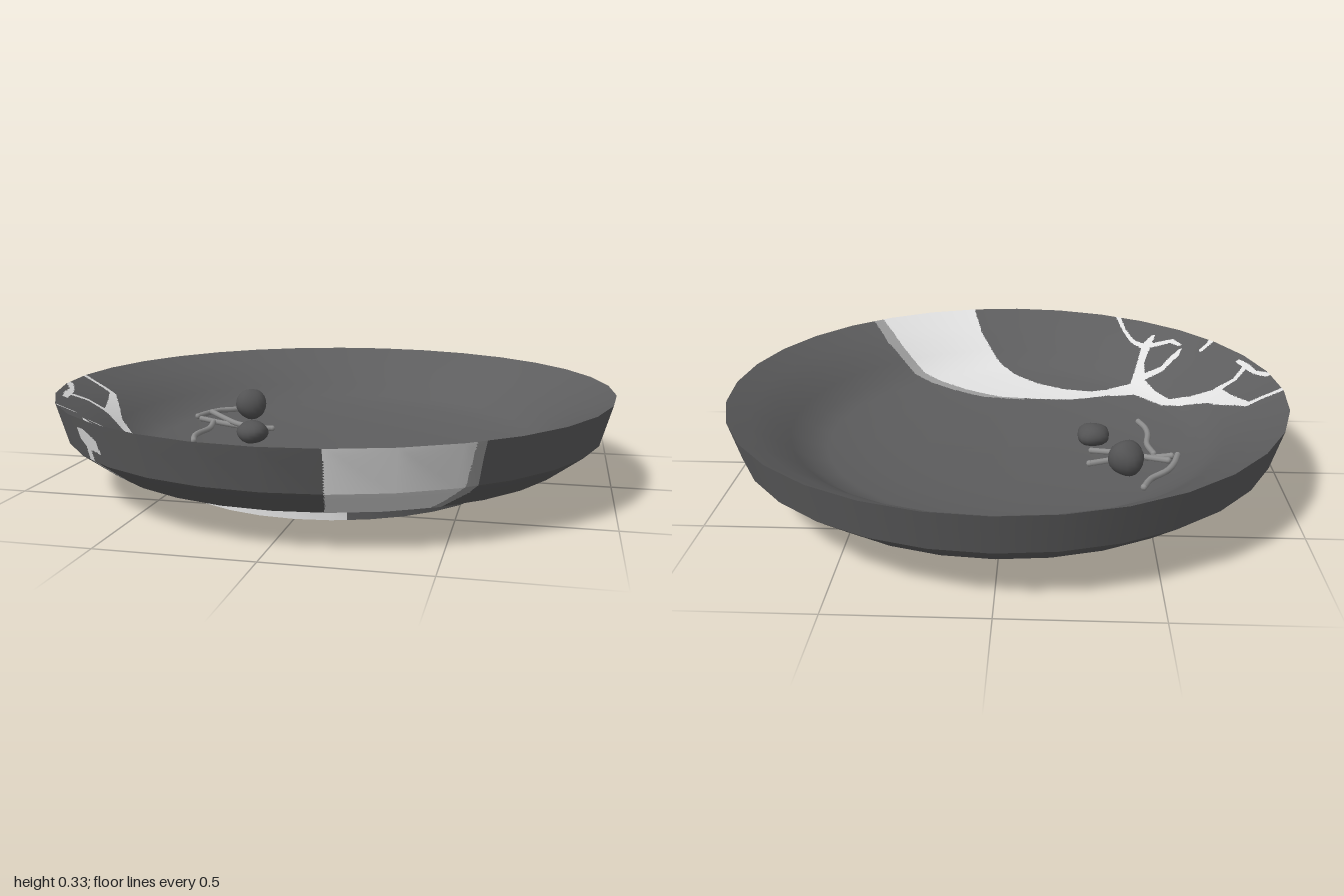
import * as THREE from 'three';

const material = (name, color, side = THREE.FrontSide) => {
  const m = new THREE.MeshStandardMaterial({ color });
  m.name = name;
  m.side = side;
  return m;
};

// Profile sections (radius, height), from the underside round to the inside; a new section is a crease
const INNER = [[1, 0.33], [0.92, 0.288], [0.85, 0.246], [0.79, 0.2], [0.73, 0.154], [0.66, 0.13],
  [0.5, 0.106], [0.3, 0.09], [0, 0.083]];
const SECTIONS = [
  [[0, 0.04], [0.56, 0.04]],
  [[0.56, 0.04], [0.56, 0]],
  [[0.56, 0], [0.6, 0]],
  [[0.6, 0], [0.6, 0.04]],
  [[0.6, 0.04], [0.84, 0.1], [0.96, 0.19]],
  [[0.96, 0.19], [1, 0.33]],
  INNER,
];

// Plan outlines (x, z) of the broad repair band and its darker margin, inside and outside
const BAND_INSIDE = [[0.2, 1.1], [0.19, 0.97], [0.15, 0.85], [0.08, 0.75], [0, 0.67], [-0.1, 0.59], [-0.22, 0.53],
  [-0.33, 0.5], [-0.45, 0.51], [-0.5, 0.52], [-0.46, 0.47], [-0.38, 0.45], [-0.25, 0.44], [-0.1, 0.45],
  [0.05, 0.468], [0.2, 0.52], [0.38, 0.61], [0.49, 0.695], [0.585, 0.805], [0.68, 0.95]];
const MARGIN_INSIDE = [[-0.05, 0.455], [-0.05, 0.443], [0.12, 0.462], [0.25, 0.508], [0.42, 0.59], [0.55, 0.683],
  [0.62, 0.777], [0.72, 0.9], [0.68, 0.95], [0.55, 0.82], [0.3, 0.62]];
const BAND_OUTSIDE = [[0.2, 1.1], [0.18, 0.95], [0.16, 0.85], [0.12, 0.76], [0.05, 0.685], [-0.08, 0.625],
  [-0.2, 0.59], [-0.3, 0.56], [-0.4, 0.53], [-0.46, 0.53], [-0.46, 0.48], [-0.35, 0.487], [-0.25, 0.5],
  [-0.1, 0.53], [0.08, 0.554], [0.17, 0.575], [0.38, 0.67], [0.5, 0.74], [0.585, 0.805], [0.68, 0.95]];
const MARGIN_OUTSIDE = [[0.17, 0.577], [0.3, 0.62], [0.42, 0.67], [0.56, 0.72], [0.61, 0.785],
  [0.72, 0.9], [0.68, 0.95], [0.55, 0.82], [0.3, 0.7]];

// Cracks in plan: points of (x, z, half width)
const CRACKS_BOTH = [
  [[-1.02, 0.01, 0.01], [-0.88, 0.02, 0.012], [-0.84, 0.1, 0.02], [-0.79, 0.21, 0.032], [-0.7, 0.28, 0.02],
    [-0.62, 0.33, 0.022], [-0.56, 0.42, 0.03], [-0.52, 0.48, 0.042], [-0.42, 0.48, 0.034]],
  [[-0.79, 0.23, 0.018], [-0.87, 0.24, 0.01], [-0.92, 0.3, 0.012], [-0.9, 0.36, 0.008]],
  [[-0.92, 0.3, 0.012], [-0.94, 0.23, 0.008], [-0.98, 0.17, 0.013]],
];
const CRACKS_INSIDE = [
  [[-0.52, 0.5, 0.032], [-0.54, 0.6, 0.016], [-0.57, 0.68, 0.02], [-0.6, 0.72, 0.008]],
  [[-0.53, 0.53, 0.018], [-0.62, 0.52, 0.013], [-0.68, 0.56, 0.015], [-0.7, 0.58, 0.006]],
  [[-0.56, 0.67, 0.012], [-0.51, 0.73, 0.008], [-0.48, 0.8, 0.007], [-0.45, 0.92, 0.01]],
  [[-0.57, 0.67, 0.011], [-0.67, 0.655, 0.011], [-0.7, 0.61, 0.007]],
  [[-0.78, 0.53, 0.009], [-0.82, 0.56, 0.011]],
];
const CRACKS_OUTSIDE = [
  [[-0.44, 0.505, 0.028], [-0.54, 0.58, 0.026], [-0.59, 0.66, 0.022], [-0.62, 0.735, 0.015]],
  [[-0.66, 0.725, 0.006], [-0.63, 0.745, 0.01], [-0.57, 0.79, 0.006]],
];
const PATTERN = {
  inside: { band: BAND_INSIDE, margin: MARGIN_INSIDE, cracks: [...CRACKS_BOTH, ...CRACKS_INSIDE] },
  outside: { band: BAND_OUTSIDE, margin: MARGIN_OUTSIDE, cracks: [...CRACKS_BOTH, ...CRACKS_OUTSIDE] },
};

const within = (poly, x, z) => {
  let hit = false;
  poly.forEach(([ax, az], i) => {
    const [bx, bz] = poly[(i + 1) % poly.length];
    if ((az > z) !== (bz > z) && x < ax + ((z - az) * (bx - ax)) / (bz - az)) hit = !hit;
  });
  return hit;
};

const onCrack = (line, x, z) => line.slice(1).some(([bx, bz, bw], i) => {
  const [ax, az, aw] = line[i];
  const dx = bx - ax, dz = bz - az;
  const t = THREE.MathUtils.clamp(((x - ax) * dx + (z - az) * dz) / (dx * dx + dz * dz), 0, 1);
  return Math.hypot(x - ax - t * dx, z - az - t * dz) < aw + (bw - aw) * t;
});

// 0 = body, 1 = pale repair, 2 = grey margin
function classify({ band, margin, cracks }, x, z) {
  if (z < -0.03) return 0;
  if (within(band, x, z) || cracks.some((c) => onCrack(c, x, z))) return 1;
  return within(margin, x, z) ? 2 : 0;
}

// Split triangles finely along the repair outline and sort them by colour
function sortTriangle(pattern, a, b, c, out) {
  const tri = [a, b, c];
  const len = tri.map((v, i) => v.p.distanceTo(tri[(i + 1) % 3].p));
  const longest = Math.max(...len);
  const kinds = tri.map((v) => classify(pattern, v.p.x, v.p.z));
  const mixed = kinds.some((k) => k !== kinds[0]);
  const nearRepair = Math.max(a.p.z, b.p.z, c.p.z) > 0 && Math.min(a.p.x, b.p.x, c.p.x) < 0.75;
  if (longest > (mixed ? 0.009 : nearRepair ? 0.035 : 9)) {
    const i = len.indexOf(longest);
    const [u, v, w] = [tri[i], tri[(i + 1) % 3], tri[(i + 2) % 3]];
    const m = { p: u.p.clone().lerp(v.p, 0.5), n: u.n.clone().lerp(v.n, 0.5) };
    sortTriangle(pattern, u, m, w, out);
    sortTriangle(pattern, m, v, w, out);
    return;
  }
  const kind = classify(pattern, (a.p.x + b.p.x + c.p.x) / 3, (a.p.z + b.p.z + c.p.z) / 3);
  for (const v of tri) {
    out[kind].pos.push(v.p.x, v.p.y, v.p.z);
    out[kind].nor.push(v.n.x, v.n.y, v.n.z);
  }
}

function buildDish(group, materials) {
  const out = materials.map(() => ({ pos: [], nor: [] }));
  SECTIONS.forEach((section, index) => {
    const lathe = new THREE.LatheGeometry(section.map(([r, y]) => new THREE.Vector2(r, y)), 32).toNonIndexed();
    const { position, normal } = lathe.attributes;
    const pattern = section === INNER ? PATTERN.inside : PATTERN.outside;
    for (let i = 0; i < position.count; i += 3) {
      const v = [0, 1, 2].map((k) => ({
        p: new THREE.Vector3().fromBufferAttribute(position, i + k),
        n: new THREE.Vector3().fromBufferAttribute(normal, i + k),
      }));
      const area = v[1].p.clone().sub(v[0].p).cross(v[2].p.clone().sub(v[0].p)).length();
      if (area < 1e-7) continue;
      if (index > 0) sortTriangle(pattern, ...v, out);
      else for (const { p, n } of v) { // recessed base stays plain
        out[0].pos.push(p.x, p.y, p.z);
        out[0].nor.push(n.x, n.y, n.z);
      }
    }
  });
  ['dishBody', 'repairInlay', 'repairMargin'].forEach((name, i) => {
    const g = new THREE.BufferGeometry();
    g.setAttribute('position', new THREE.Float32BufferAttribute(out[i].pos, 3));
    g.setAttribute('normal', new THREE.Float32BufferAttribute(out[i].nor, 3));
    g.normalizeNormals();
    const mesh = new THREE.Mesh(g, materials[i]);
    mesh.name = name;
    group.add(mesh);
  });
}

// Height of the inside of the dish at a plan position
function floorAt(x, z) {
  const r = Math.hypot(x, z);
  const i = INNER.findIndex(([pr]) => pr <= r);
  const [r0, y0] = INNER[i - 1], [r1, y1] = INNER[i];
  return y0 + ((r - r0) / (r1 - r0)) * (y1 - y0);
}

export function createModel() {
  const group = new THREE.Group();
  group.name = 'repairedDish';
  buildDish(group, [
    material('darkGlaze', 0x5d5d5e),
    material('paleRepair', 0xe0e0e0),
    material('greyMargin', 0x9c9c9c),
  ]);

  // Berries with slightly uneven skins
  const berrySkin = material('berrySkin', 0x535354);
  [[-0.42, 0.183, -0.29, 0.062], [-0.32, 0.138, 0.01, 0.042]].forEach(([x, y, z, h], i) => {
    const g = new THREE.SphereGeometry(0.062, 16, 12);
    const p = g.attributes.position;
    for (let k = 0; k < p.count; k++) {
      const v = new THREE.Vector3().fromBufferAttribute(p, k);
      v.multiplyScalar(1 + 0.06 * Math.sin(v.x * 50 + i * 2) * Math.cos(v.z * 45 + v.y * 30));
      p.setXYZ(k, v.x, v.y * (h / 0.062), v.z);
    }
    g.computeVertexNormals();
    const berry = new THREE.Mesh(g, berrySkin);
    berry.position.set(x, y, z);
    berry.name = 'berry';
    group.add(berry);
  });

  // Thin stems lying in the dish: plan points and lift above the floor
  const stemMaterial = material('stemGrey', 0x8e8e8e, THREE.DoubleSide);
  [
    [0.02, [[-0.47, -0.44], [-0.5, -0.37], [-0.56, -0.31], [-0.59, -0.25], [-0.61, -0.18]]],
    [0.03, [[-0.57, -0.24], [-0.5, -0.19], [-0.43, -0.14], [-0.37, -0.12], [-0.31, -0.1]]],
    [0.016, [[-0.59, -0.17], [-0.5, -0.165], [-0.4, -0.16], [-0.3, -0.185]]],
    [0.02, [[-0.53, -0.14], [-0.515, -0.05], [-0.525, 0.04], [-0.52, 0.1], [-0.5, 0.16]]],
  ].forEach(([lift, points]) => {
    const path = new THREE.CatmullRomCurve3(
      points.map(([x, z]) => new THREE.Vector3(x, floorAt(x, z) + lift, z)));
    const stem = new THREE.Mesh(new THREE.TubeGeometry(path, 20, 0.011, 8), stemMaterial);
    stem.name = 'stem';
    group.add(stem);
    for (const t of [0, 1]) {
      const tip = new THREE.Mesh(new THREE.SphereGeometry(0.0115, 8, 6), stemMaterial);
      tip.position.copy(path.getPoint(t));
      tip.name = 'stemTip';
      group.add(tip);
    }
  });
  return group;
}
